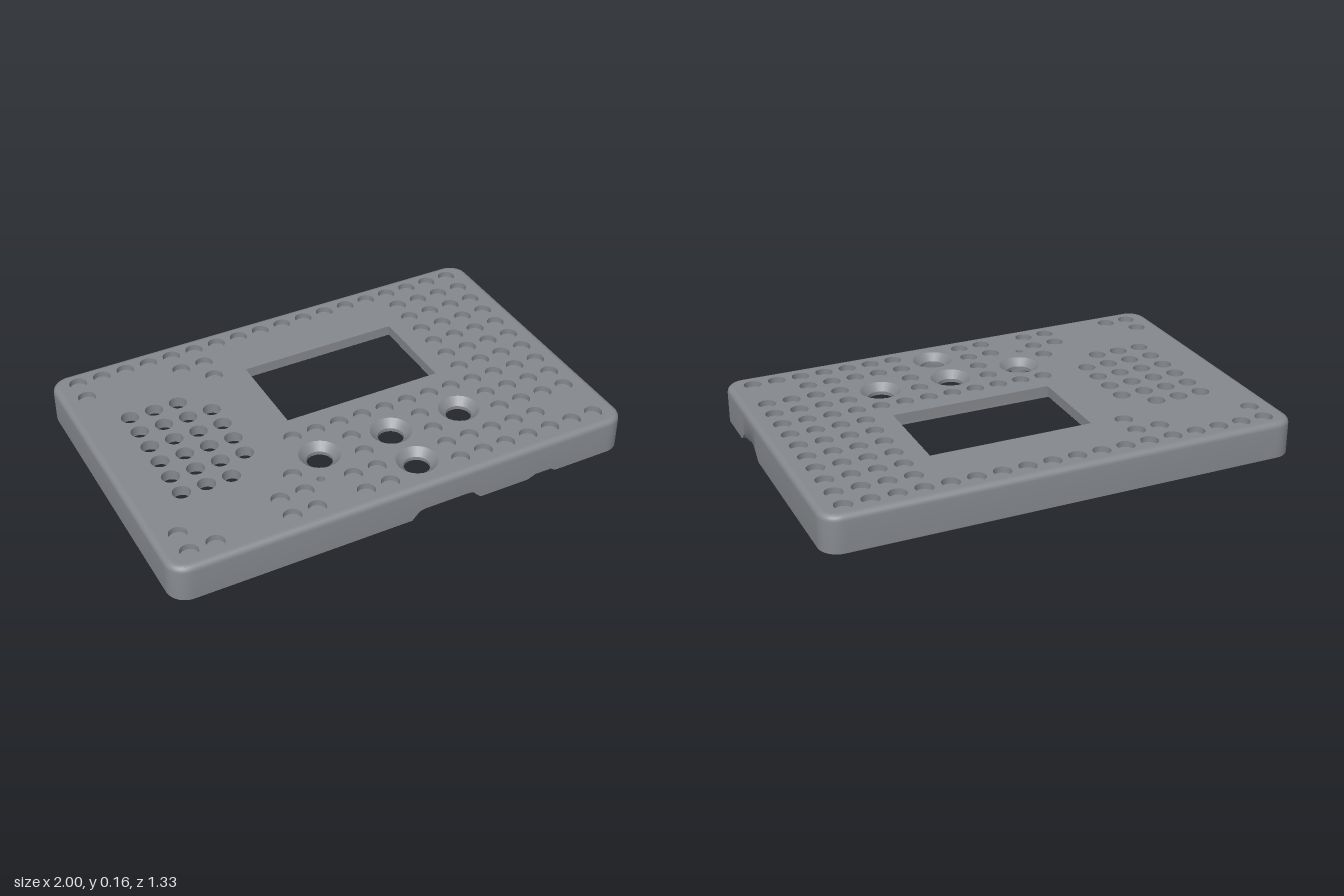
import * as THREE from 'three';
import { mergeGeometries, toCreasedNormals } from 'three/addons/utils/BufferGeometryUtils.js';

const TOP = 0.155, CEIL = 0.11, HX = 1, HZ = 0.6625, CORNER = 0.08;
const PITCH = 0.1053, SEG = 24;

const plastic = new THREE.MeshStandardMaterial({ color: 0x85888d, side: THREE.DoubleSide });
plastic.name = 'grey plastic';

// Rounded rectangle outline as [x, z] points, running from +x towards +z
function outline(hx, hz, r, straight = 100, arc = 8) {
  const pts = [];
  const corners = [[1, 1], [-1, 1], [-1, -1], [1, -1]];
  corners.forEach(([sx, sz], q) => {
    for (let i = 0; i <= arc; i++) {
      const a = (q + i / arc) * Math.PI / 2;
      pts.push([sx * (hx - r) + r * Math.cos(a), sz * (hz - r) + r * Math.sin(a)]);
    }
    const [nx, nz] = corners[(q + 1) % 4];
    const end = (q + 1) * Math.PI / 2;
    const [x0, z0] = pts[pts.length - 1];
    const x1 = nx * (hx - r) + r * Math.cos(end), z1 = nz * (hz - r) + r * Math.sin(end);
    for (let i = 1; i < straight; i++) {
      const t = i / straight;
      pts.push([x0 + (x1 - x0) * t, z0 + (z1 - z0) * t]);
    }
  });
  return pts;
}

const circle = (x, z, r) => Array.from({ length: SEG }, (_, i) => {
  const a = i / SEG * Math.PI * 2;
  return [x + r * Math.cos(a), z + r * Math.sin(a)];
});

function makeShape(points, holes, flip) {
  const conv = list => list.map(([x, z]) => new THREE.Vector2(x, z * flip));
  const shape = new THREE.Shape(conv(points));
  shape.holes = holes.map(h => new THREE.Path(conv(h)));
  return shape;
}

// Flat face with holes, facing up or down
function sheet(points, holes, y, up) {
  const geo = new THREE.ShapeGeometry(makeShape(points, holes, up ? -1 : 1));
  return geo.rotateX(up ? -Math.PI / 2 : Math.PI / 2).translate(0, y, 0);
}

// Solid hanging from yTop down to yBottom
function hanging(points, holes, yTop, yBottom) {
  const geo = new THREE.ExtrudeGeometry(makeShape(points, holes, 1), { depth: yTop - yBottom, bevelEnabled: false });
  return toCreasedNormals(geo.rotateX(Math.PI / 2).translate(0, yTop, 0), 0.6);
}

// Open wall of a round hole
const bore = (x, z, rTop, rBottom, yTop, yBottom) =>
  new THREE.CylinderGeometry(rTop, rBottom, yTop - yBottom, SEG, 1, true).translate(x, (yTop + yBottom) / 2, z);

// Height of the bottom edge, raised at the cable notches
function notch(x, z, inset) {
  const k = Math.min(1, inset / 0.02);
  if (x > 0.9 && Math.abs(z) < 0.57) {
    const R = 0.14 - 0.035 * k, d = z - 0.287;
    return Math.max(0, Math.sqrt(Math.max(0, R * R - d * d)) - 0.08);
  }
  if (z > 0.58) {
    const lens = (c, half, h) => {
      const t = Math.abs(x - c) / half;
      return t < 1 ? h * Math.sqrt(1 - Math.max(0, (t - 0.6) / 0.4) ** 2) * Math.min(1, (1 - t) * 6) : 0;
    };
    return lens(0.155, 0.155, 0.04 - 0.01 * k) + lens(0.605, 0.06, 0.015 - 0.005 * k);
  }
  return 0;
}

// Side wall lofted from inside ceiling, down around the lip, up to the rounded top edge
function wallGeometry() {
  const profile = [[0.045, CEIL], [0.045, 0.025], [0.022, 0.025], [0.022, 0], [0, 0]];
  for (let i = 0; i <= 5; i++) {
    const a = i / 5 * Math.PI / 2;
    profile.push([0.025 * (1 - Math.cos(a)), TOP - 0.025 + 0.025 * Math.sin(a)]);
  }
  const pos = [], idx = [];
  let n = 0;
  for (const [inset, y] of profile) {
    const ring = outline(HX - inset, HZ - inset, CORNER - inset);
    n = ring.length;
    for (const [x, z] of ring) pos.push(x, Math.max(y, notch(x, z, inset)), z);
  }
  for (let k = 0; k < profile.length - 1; k++) {
    for (let i = 0; i < n; i++) {
      const a = k * n + i, b = k * n + (i + 1) % n;
      idx.push(a, a + n, b, b, a + n, b + n);
    }
  }
  const geo = new THREE.BufferGeometry();
  geo.setAttribute('position', new THREE.Float32BufferAttribute(pos, 3));
  geo.setIndex(idx);
  return toCreasedNormals(geo, 0.6);
}

// Hole pattern: o = blind dimple, # = hole right through
const PATTERN = [
  'oooooooooooooooooo',
  'o...oo........oooo',
  '.....o........oooo',
  '.###..........oooo',
  '.####.........oooo',
  '.####.........oooo',
  '.####.........oooo',
  '.####.oooooooooooo',
  '.###....o..o..oooo',
  '.....o..o..o..oooo',
  'o...oo.oo..ooooo..',
  'oo..oo.oo..ooooooo',
];

export function createModel() {
  const group = new THREE.Group();
  const add = (name, geo) => {
    const mesh = new THREE.Mesh(geo, plastic);
    mesh.name = name;
    group.add(mesh);
  };
  const topHoles = [], ceilingHoles = [], dimples = [], grille = [], buttons = [];

  // Dimples and speaker grille
  PATTERN.forEach((row, r) => [...row].forEach((ch, c) => {
    if (ch === '.') return;
    const x = (c - 8.5) * PITCH, z = -0.583 + r * PITCH, rad = 0.037;
    topHoles.push(circle(x, z, rad));
    if (ch === '#') {
      ceilingHoles.push(circle(x, z, rad));
      grille.push(bore(x, z, rad, rad, TOP, CEIL));
    } else {
      dimples.push(bore(x, z, rad, rad, TOP, TOP - 0.025));
      dimples.push(new THREE.CircleGeometry(rad, SEG).rotateX(-Math.PI / 2).translate(x, TOP - 0.025, z));
    }
  }));

  // Dished button holes
  for (const [x, z] of [[-0.217, 0.3], [0.105, 0.3], [0.423, 0.3], [0.105, 0.508]]) {
    topHoles.push(circle(x, z, 0.085));
    ceilingHoles.push(circle(x, z, 0.053));
    buttons.push(bore(x, z, 0.085, 0.053, TOP, TOP - 0.03), bore(x, z, 0.053, 0.053, TOP - 0.03, CEIL));
  }

  // Indicator light hole
  const led = [-0.283, 0.437];
  topHoles.push(circle(...led, 0.016));
  ceilingHoles.push(circle(...led, 0.016));

  // Screen opening
  const rect = (x0, x1, z0, z1) => [[x0, z0], [x1, z0], [x1, z1], [x0, z1]];
  const screen = rect(-0.232, 0.463, -0.35, 0.048);
  topHoles.push(screen);
  ceilingHoles.push(screen);

  add('sideWall', wallGeometry());
  add('topFace', sheet(outline(HX - 0.025, HZ - 0.025, CORNER - 0.025), topHoles, TOP, true));
  add('ceiling', sheet(outline(HX - 0.045, HZ - 0.045, CORNER - 0.045), ceilingHoles, CEIL, false));
  add('dimples', mergeGeometries(dimples));
  add('speakerGrille', mergeGeometries(grille));
  add('buttonHoles', mergeGeometries(buttons));
  add('screenLiner', hanging(rect(-0.236, 0.467, -0.354, 0.052), [screen], TOP - 0.0005, CEIL + 0.0005));

  // Ribs beside the screen
  add('screenFrontRib', hanging(rect(-0.28, 0.5, 0.085, 0.105), [], CEIL, CEIL - 0.025));
  add('screenSideRib', hanging(rect(-0.28, -0.26, -0.35, 0.105), [], CEIL, CEIL - 0.025));

  // Speaker holder
  const oval = (hx, hz) => outline(hx, hz, hx - 0.01, 2, 16).map(([x, z]) => [x - 0.647, z]);
  add('speakerRing', hanging(oval(0.3, 0.46), [oval(0.275, 0.435)], CEIL, 0.04));

  // Screw posts and light tube
  add('rightScrewPost', hanging(circle(-0.56, 0.52, 0.078), [circle(-0.56, 0.52, 0.034)], CEIL, 0.025));
  add('leftScrewPost', hanging(circle(0.875, 0.46, 0.078), [circle(0.875, 0.46, 0.034)], CEIL, 0.025));
  add('lightTube', hanging(circle(...led, 0.037), [circle(...led, 0.016)], CEIL, 0.05));
  add('lightHole', bore(...led, 0.016, 0.016, TOP, CEIL));
  return group;
}
